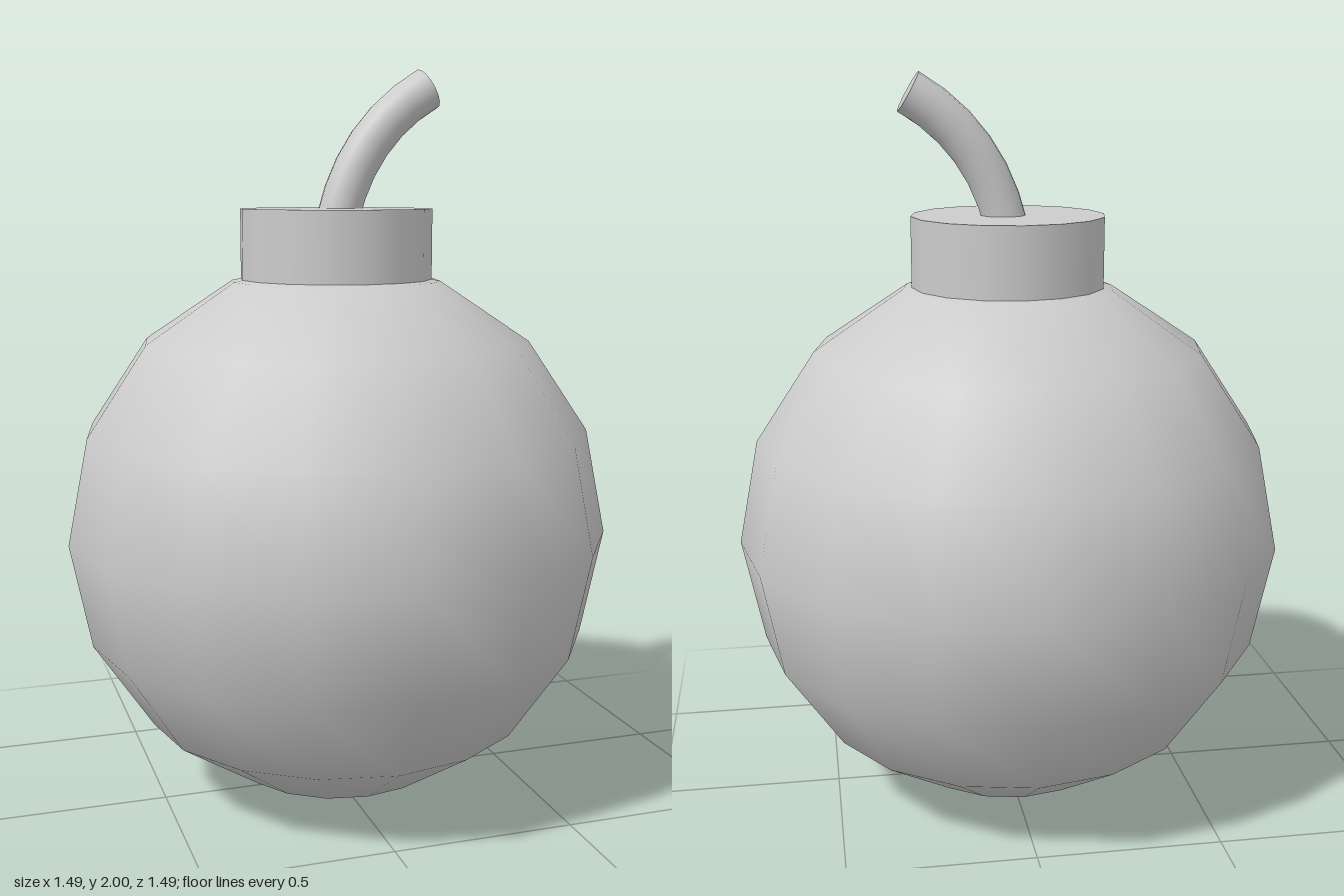
import * as THREE from 'three';

const material = new THREE.MeshStandardMaterial({ color: 0xcccccc });

function addPart(group, name, geometry) {
  const mesh = new THREE.Mesh(geometry, material);
  mesh.name = name;
  group.add(mesh);
  return mesh;
}

export function createModel() {
  const model = new THREE.Group();
  model.name = 'bomb';

  // Round body: coarse sphere with smooth normals
  addPart(model, 'body', new THREE.SphereGeometry(0.745, 16, 8)).position.y = 0.748;

  // Short collar, sunk slightly into the top of the body
  const collarBottom = 1.41, collarTop = 1.63;
  addPart(model, 'collar', new THREE.CylinderGeometry(0.261, 0.261, collarTop - collarBottom, 16))
    .position.y = (collarBottom + collarTop) / 2;

  // Fuse curving up towards the model's left, closed by a flat end
  const fuse = new THREE.Group();
  fuse.name = 'fuse';
  model.add(fuse);
  const radius = 0.058, sides = 16;
  const path = new THREE.QuadraticBezierCurve3(
    new THREE.Vector3(0.005, 1.6, 0),
    new THREE.Vector3(0.06, 1.835, 0),
    new THREE.Vector3(0.262, 1.95, 0)
  );
  addPart(fuse, 'fuseCord', new THREE.TubeGeometry(path, 6, radius, sides));

  const direction = path.getTangent(1);
  const end = new THREE.CircleGeometry(radius, sides);
  end.rotateY(Math.PI / 2);
  end.rotateZ(Math.atan2(direction.y, direction.x));
  addPart(fuse, 'fuseEnd', end).position.copy(path.getPoint(1));

  return model;
}
